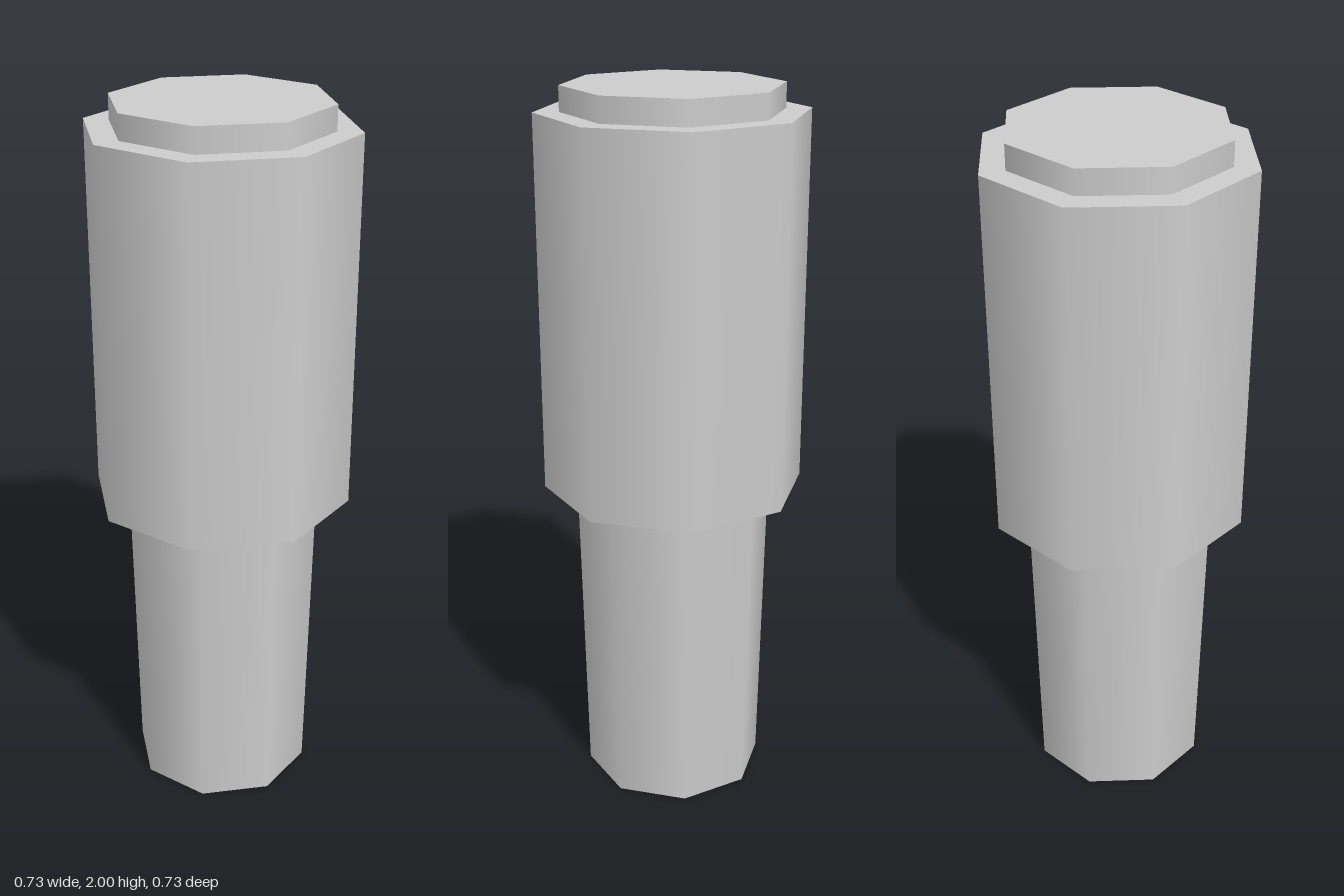
import * as THREE from 'three';

const SIDES = 8;

export function createModel() {
  const group = new THREE.Group();
  group.name = 'steppedPeg';
  const grey = new THREE.MeshStandardMaterial({ color: 0xcccccc });
  grey.name = 'light grey';

  // Eight-sided section with smooth sides, standing between two heights
  function section(name, topRadius, bottomRadius, y0, y1) {
    const geometry = new THREE.CylinderGeometry(topRadius, bottomRadius, y1 - y0, SIDES);
    const mesh = new THREE.Mesh(geometry, grey);
    mesh.name = name;
    mesh.position.y = (y0 + y1) / 2;
    group.add(mesh);
  }

  section('taperedStem', 0.273, 0.255, 0, 0.9); // narrows towards the foot
  section('sleeve', 0.364, 0.364, 0.9, 1.933); // wide upper body
  section('topCap', 0.295, 0.295, 1.933, 2); // raised end cap

  return group;
}
